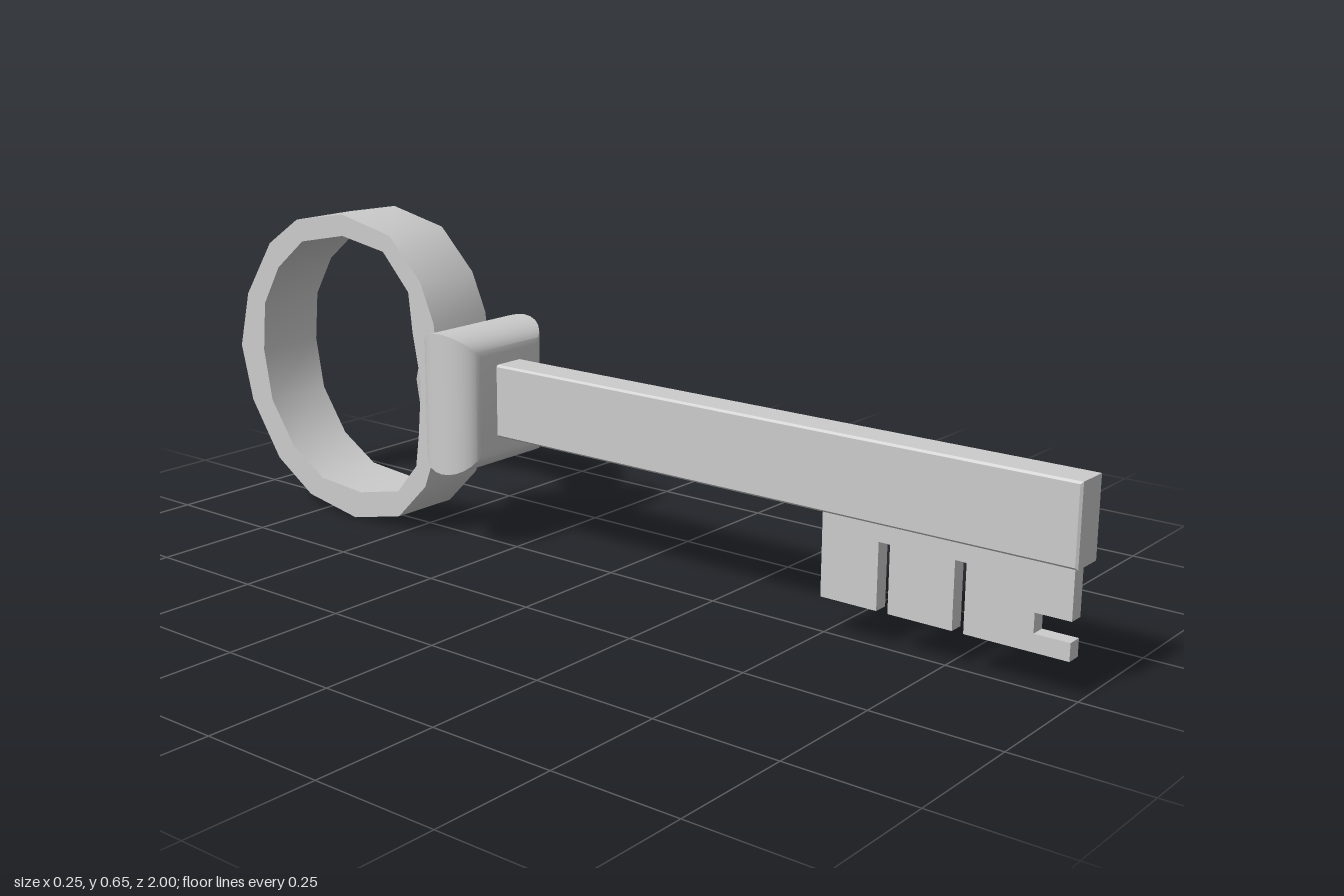
import * as THREE from 'three';
import { toCreasedNormals } from 'three/addons/utils/BufferGeometryUtils.js';

const material = new THREE.MeshStandardMaterial({ color: 0xcccccc });

function addMesh(group, name, geometry, crease = 0.6) {
  const mesh = new THREE.Mesh(toCreasedNormals(geometry, crease), material);
  mesh.name = name;
  group.add(mesh);
}

const toPoints = (list) => list.map(([z, y]) => new THREE.Vector2(z, y));

// Extrude a side profile drawn in (z, y) to a width centred on x = 0
function extrudeSide(shape, width, bevel = 0) {
  const geometry = new THREE.ExtrudeGeometry(shape, {
    depth: width - 2 * bevel,
    bevelEnabled: bevel > 0,
    bevelSize: bevel,
    bevelThickness: bevel,
    bevelOffset: -bevel,
    bevelSegments: 1,
  });
  geometry.translate(0, 0, bevel - width / 2);
  geometry.rotateY(-Math.PI / 2);
  return geometry;
}

// Skin rectangular sections [z, halfWidth, halfHeight], listed from front to back
function loftRectangles(sections, centreY) {
  const corners = [[1, 1], [-1, 1], [-1, -1], [1, -1]];
  const positions = [];
  const indices = [];
  for (const [z, hx, hy] of sections) {
    for (const [sx, sy] of corners) positions.push(sx * hx, centreY + sy * hy, z);
  }
  for (let s = 0; s < sections.length - 1; s++) {
    for (let i = 0; i < 4; i++) {
      const a = s * 4 + i;
      const b = s * 4 + ((i + 1) % 4);
      indices.push(a, a + 4, b + 4, a, b + 4, b);
    }
  }
  const geometry = new THREE.BufferGeometry();
  geometry.setAttribute('position', new THREE.Float32BufferAttribute(positions, 3));
  geometry.setIndex(indices);
  return geometry;
}

export function createModel() {
  const key = new THREE.Group();
  key.name = 'key';

  // Bow: slightly irregular flat-sided ring
  const outer = [
    [-0.4, 0.46], [-0.435, 0.54], [-0.52, 0.625], [-0.66, 0.655], [-0.8, 0.63],
    [-0.89, 0.57], [-0.97, 0.45], [-1, 0.33], [-0.97, 0.21], [-0.89, 0.09],
    [-0.79, 0.025], [-0.65, 0], [-0.515, 0.03], [-0.435, 0.11], [-0.4, 0.2],
    [-0.385, 0.33],
  ];
  const inner = [
    [-0.46, 0.43], [-0.47, 0.515], [-0.54, 0.59], [-0.66, 0.61], [-0.785, 0.585],
    [-0.865, 0.52], [-0.915, 0.435], [-0.925, 0.33], [-0.905, 0.22], [-0.84, 0.125],
    [-0.75, 0.07], [-0.63, 0.06], [-0.515, 0.085], [-0.46, 0.15], [-0.45, 0.22],
    [-0.44, 0.33],
  ];
  const ring = new THREE.Shape(toPoints(outer));
  ring.holes.push(new THREE.Path(toPoints(inner)));
  addMesh(key, 'bowRing', extrudeSide(ring, 0.152));

  // Collar: pillow-edged block whose back draws out into a point
  const sections = [[-0.266, 0, 0]];
  const steps = 12;
  for (let i = 0; i <= steps; i++) {
    const t = (i / steps) * Math.PI;
    const bulge = 0.045 * Math.sin(t);
    sections.push([-0.337 + 0.071 * Math.cos(t), 0.081 + bulge, 0.099 + bulge]);
  }
  sections.push([-0.46, 0.055, 0.078], [-0.49, 0.03, 0.045], [-0.53, 0, 0]);
  addMesh(key, 'collar', loftRectangles(sections, 0.311), 0.5);

  // Shaft: long bar with a fine bevel
  const shaft = new THREE.Shape(toPoints([[-0.34, 0.238], [1, 0.238], [1, 0.387], [-0.34, 0.387]]));
  addMesh(key, 'shaft', extrudeSide(shaft, 0.072, 0.004), 0.3);

  // Bit: thin blade with two slots from below and a notch in the front edge
  const bit = new THREE.Shape(toPoints([
    [0.5, 0.25], [0.5, 0.072], [0.617, 0.072], [0.617, 0.2], [0.64, 0.2], [0.64, 0.072],
    [0.768, 0.072], [0.768, 0.2], [0.79, 0.2], [0.79, 0.072], [0.987, 0.072],
    [0.987, 0.105], [0.92, 0.105], [0.92, 0.142], [0.987, 0.142], [0.987, 0.25],
  ]));
  addMesh(key, 'bit', extrudeSide(bit, 0.03));

  return key;
}
